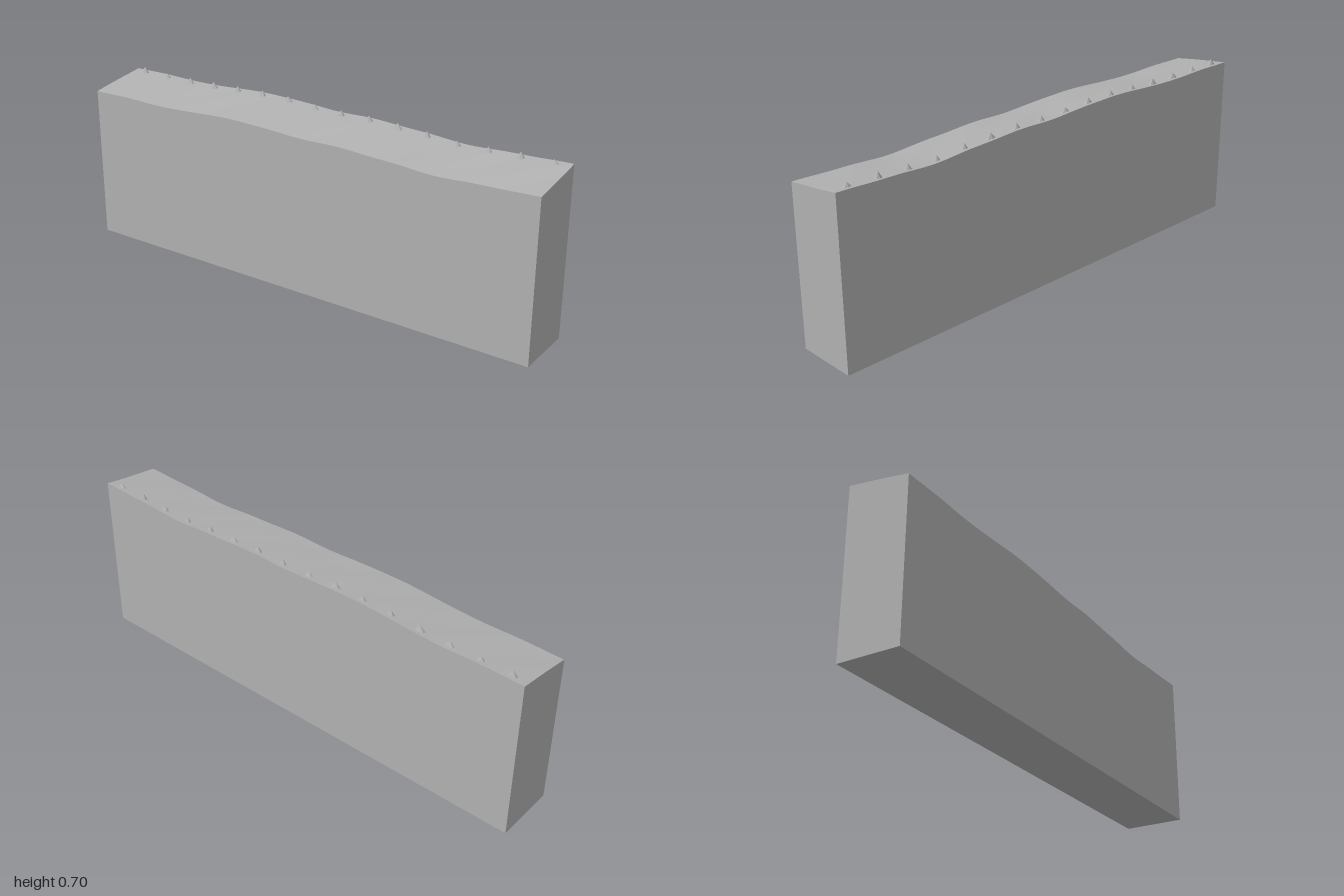
import * as THREE from 'three';

// Height of the front top edge at x = -1, -0.8 ... 1
const crest = new THREE.SplineCurve(
  [0.629, 0.630, 0.629, 0.642, 0.645, 0.636, 0.638, 0.630, 0.620, 0.629, 0.636]
    .map((y, i) => new THREE.Vector2(-1 + i * 0.2, y)));

// Wavy top that rises towards the back, with faint diagonal ripples
function topHeight(x, z) {
  const base = crest.getPoint((x + 1) / 2).y;
  return base + (0.125 - z) * 0.148 + 0.0008 * Math.sin(24 * (x + z));
}

export function createModel() {
  const model = new THREE.Group();
  const stone = new THREE.MeshStandardMaterial({ color: 0xb0b0b0 });
  stone.name = 'stone grey';

  // Wall block: a box whose top vertices follow the wave
  const wallGeo = new THREE.BoxGeometry(2, 1, 0.25, 64, 1, 8);
  const p = wallGeo.attributes.position;
  for (let i = 0; i < p.count; i++) {
    p.setY(i, p.getY(i) > 0 ? topHeight(p.getX(i), p.getZ(i)) : 0);
  }
  wallGeo.computeVertexNormals();
  const wall = new THREE.Mesh(wallGeo, stone);
  wall.name = 'wall';
  model.add(wall);

  // Row of small faceted spikes along the back of the top: half widths and tip heights
  const widths = [23, 20, 26, 26, 19, 20, 25, 25, 18, 20, 26, 18, 18, 20, 19, 24];
  const heights = [26, 19, 23, 25, 22, 22, 21, 19, 22, 22, 23, 22, 20, 21, 25, 17];
  const spikes = new THREE.Group();
  spikes.name = 'spikes';
  widths.forEach((w, i) => {
    const x = -0.9375 + i * 0.125, z = -0.1;
    const h = heights[i] / 1000 + 0.005;
    const cone = new THREE.ConeGeometry(1, 1, 6).toNonIndexed();
    cone.scale(w / 1000, h, 0.014);
    cone.computeVertexNormals();
    const spike = new THREE.Mesh(cone, stone);
    spike.name = 'spike';
    spike.rotation.y = 0.1 * Math.sin(i * 2.3);
    spike.position.set(x, topHeight(x, z) - 0.005 + h / 2, z);
    spikes.add(spike);
  });
  model.add(spikes);
  return model;
}
